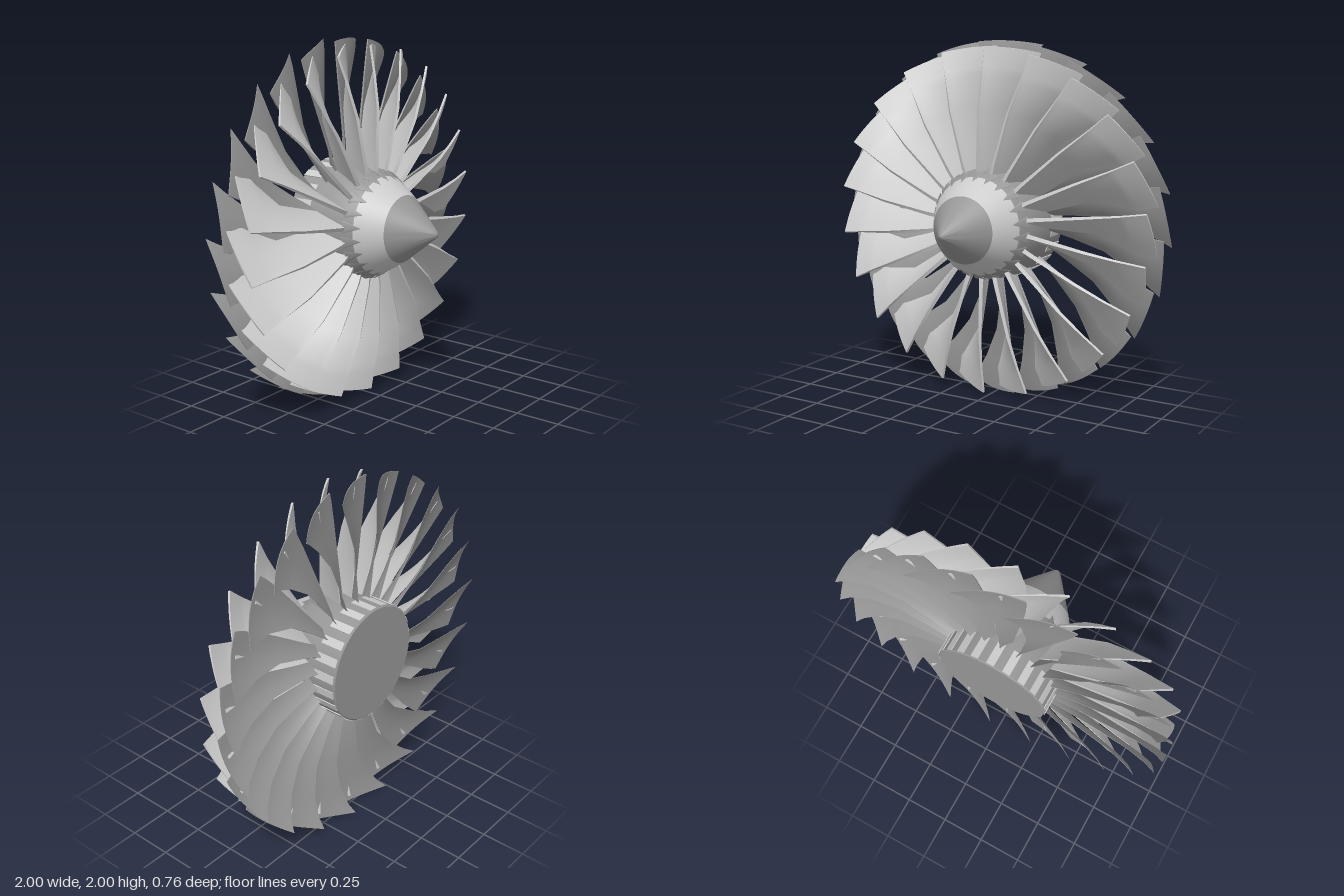
import * as THREE from 'three';
import { toCreasedNormals } from 'three/addons/utils/BufferGeometryUtils.js';

const COUNT = 22;
const STEP = (Math.PI * 2) / COUNT;
const light = new THREE.MeshStandardMaterial({ color: 0xcccccc });
const dark = new THREE.MeshStandardMaterial({ color: 0x969696 });

// Blade lofted from stations along the span:
// [radius, leading angle in degrees, leading z, trailing angle, trailing z, thickness]
function bladeGeometry(stations, camber) {
  const N = 8, ring = 2 * (N + 1), pos = [], idx = [];
  for (const [r, a0, z0, a1, z1, th] of stations) {
    const A0 = THREE.MathUtils.degToRad(a0), A1 = THREE.MathUtils.degToRad(a1);
    const dt = r * (A1 - A0), dz = z1 - z0, len = Math.hypot(dt, dz);
    const nt = -dz / len, nz = dt / len;
    for (let k = 0; k < ring; k++) {
      const front = k <= N;
      const t = (front ? k : ring - 1 - k) / N;
      const off = camber * len * Math.sin(Math.PI * t) + (front ? 0.5 : -0.5) * th * (1 - 0.75 * t);
      const a = A0 + (A1 - A0) * t + (nt * off) / r;
      pos.push(r * Math.sin(a), r * Math.cos(a), z0 + dz * t + nz * off);
    }
  }
  const last = (stations.length - 1) * ring;
  for (let j = 0; j < last; j += ring) {
    for (let k = 0; k < ring; k++) {
      const n = (k + 1) % ring;
      idx.push(j + k, j + n, j + ring + k, j + n, j + ring + n, j + ring + k);
    }
  }
  // tip cap
  for (let k = 0; k < N; k++) {
    const a = last + k, b = last + k + 1, c = last + ring - 2 - k, d = last + ring - 1 - k;
    idx.push(a, b, c, a, c, d);
  }
  const g = new THREE.BufferGeometry();
  g.setAttribute('position', new THREE.Float32BufferAttribute(pos, 3));
  g.setIndex(idx);
  return toCreasedNormals(g, 0.6);
}

// Turned part about the z axis, from [radius, z] points running forwards
function turned(name, material, points) {
  const g = new THREE.LatheGeometry(points.map(([r, z]) => new THREE.Vector2(r, z)), 64);
  g.rotateX(Math.PI / 2);
  const mesh = new THREE.Mesh(toCreasedNormals(g, 0.4), material);
  mesh.name = name;
  return mesh;
}

// Repeats a geometry evenly around the z axis
function ringOf(name, material, geometry) {
  const group = new THREE.Group();
  group.name = name + 's';
  for (let i = 0; i < COUNT; i++) {
    const m = new THREE.Mesh(geometry, material);
    m.name = name;
    m.rotation.z = -i * STEP;
    group.add(m);
  }
  return group;
}

export function createModel() {
  const model = new THREE.Group();
  model.name = 'turbineFan';
  const rotor = new THREE.Group();
  rotor.name = 'rotor';
  rotor.position.y = 1;
  model.add(rotor);

  // Rear drum, hub band and nose cone
  rotor.add(
    turned('drum', dark, [
      [0, -0.38], [0.318, -0.38], [0.326, -0.373], [0.326, -0.24], [0.318, -0.14],
      [0.304, -0.06], [0.283, 0], [0.272, 0.02],
    ]),
    turned('hubBand', light, [[0.272, 0.02], [0.255, 0.05], [0.222, 0.105], [0.185, 0.16]]),
    turned('noseCone', dark, [[0.185, 0.16], [0.1, 0.268], [0.03, 0.357], [0.015, 0.373], [0, 0.38]]),
  );

  // Front row: twisted blades, chord widening to the tip
  rotor.add(ringOf('frontBlade', light, bladeGeometry([
    [0.27, -2.5, -0.02, 11, -0.2, 0.026],
    [0.34, -2, -0.012, 10.5, -0.2, 0.022],
    [0.64, -0.6, -0.01, 9.5, -0.19, 0.016],
    [0.82, 0, -0.038, 15, -0.215, 0.013],
    [0.86, 0, -0.046, 16.2, -0.222, 0.012],
    [0.97, 0, -0.065, 16.8, -0.24, 0.012],
  ], 0.01)));

  // Rear row: sickle blades, short at the root, with pointed trailing tips
  rotor.add(ringOf('rearBlade', dark, bladeGeometry([
    [0.29, 9.5, -0.205, 15.5, -0.275, 0.014],
    [0.45, 9, -0.205, 17, -0.265, 0.012],
    [0.65, 8.5, -0.2, 19, -0.262, 0.01],
    [0.82, 8.5, -0.2, 23.5, -0.275, 0.008],
    [0.94, 9, -0.205, 27, -0.305, 0.007],
    [1.0, 9.5, -0.21, 29, -0.335, 0.006],
  ], 0.06)));

  // Pointed root fairings in front of the blades
  const fairing = new THREE.ConeGeometry(0.038, 0.1, 10);
  fairing.rotateX(Math.PI / 2).scale(1, 0.12, 1).rotateX(0.5).translate(0, 0.276, 0.015);
  rotor.add(ringOf('rootFairing', dark, fairing));

  // Low ribs around the rear drum
  const rib = new THREE.BoxGeometry(0.045, 0.02, 0.13);
  rib.translate(0, 0.32, -0.308);
  rotor.add(ringOf('drumRib', light, rib));

  return model;
}
